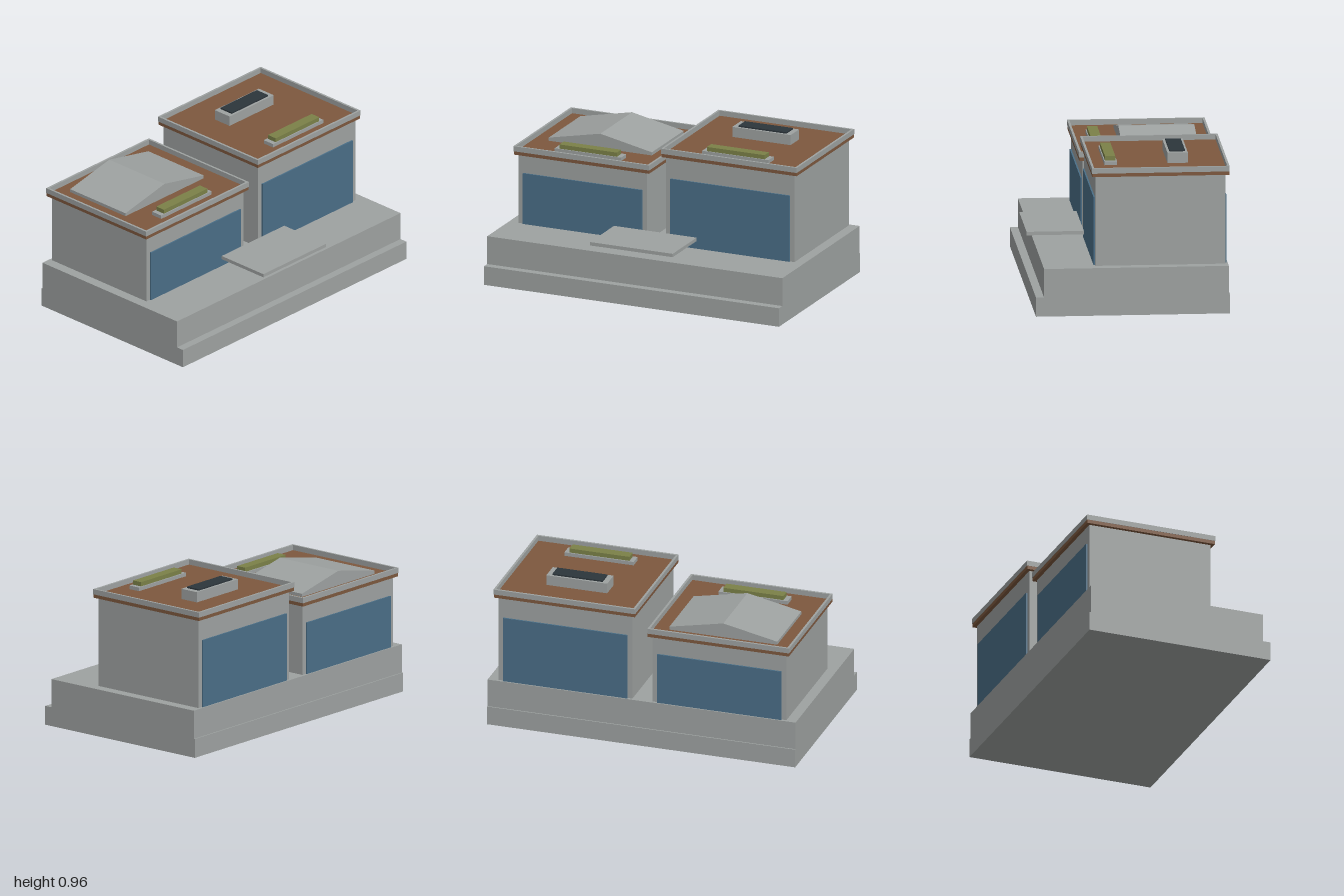
import * as THREE from 'three';

const mat = (name, color) => {
  const m = new THREE.MeshStandardMaterial({ color });
  m.name = name;
  return m;
};

export function createModel() {
  const concrete = mat('concrete grey', 0x9ea2a1);
  const wood = mat('wood brown', 0x7d583e);
  const glass = mat('glass blue', 0x4a6e87);
  const plant = mat('plant olive', 0x7b8148);
  const panel = mat('panel dark', 0x2c353b);

  // Box given by its limits on each axis
  const box = (parent, name, material, [x0, x1], [y0, y1], [z0, z1]) => {
    const mesh = new THREE.Mesh(new THREE.BoxGeometry(x1 - x0, y1 - y0, z1 - z0), material);
    mesh.position.set((x0 + x1) / 2, (y0 + y1) / 2, (z0 + z1) / 2);
    mesh.name = name;
    parent.add(mesh);
    return mesh;
  };

  const model = new THREE.Group();
  model.name = 'twinPavilion';

  // Stepped plinth and entrance canopy
  box(model, 'lowerPlinth', concrete, [-1, 1], [0, 0.12], [-0.6, 0.6]);
  box(model, 'upperPlinth', concrete, [-1, 1], [0.12, 0.3], [-0.592, 0.55]);
  box(model, 'canopy', concrete, [-0.28, 0.28], [0.353, 0.375], [0.246, 0.6]);

  // One block: walls, front and back glazing, roof deck, parapet, planter
  const addBlock = (name, cx, wallTop, glassTop) => {
    const block = new THREE.Group();
    block.name = name;
    const span = (half) => [cx - half, cx + half];
    box(block, 'walls', concrete, span(0.435), [0.3, wallTop], [-0.575, 0.228]);
    box(block, 'frontWindow', glass, span(0.403), [0.3, glassTop], [0.228, 0.2375]);
    box(block, 'backWindow', glass, span(0.403), [0.3, glassTop], [-0.5845, -0.575]);

    const deck = wallTop + 0.022;
    box(block, 'roofDeck', wood, span(0.458), [wallTop, deck], [-0.598, 0.248]);

    // Parapet ring
    const w = 0.46, z0 = -0.6, z1 = 0.25, t = 0.014, top = wallTop + 0.055;
    const rect = (Type, x, a, b) => new Type([
      new THREE.Vector2(-x, -a), new THREE.Vector2(x, -a),
      new THREE.Vector2(x, -b), new THREE.Vector2(-x, -b),
    ]);
    const ring = rect(THREE.Shape, w, z1, z0);
    ring.holes.push(rect(THREE.Path, w - t, z1 - t, z0 + t));
    const geo = new THREE.ExtrudeGeometry(ring, { depth: top - deck, bevelEnabled: false });
    geo.rotateX(-Math.PI / 2);
    const parapet = new THREE.Mesh(geo, concrete);
    parapet.position.set(cx, deck, 0);
    parapet.name = 'parapet';
    block.add(parapet);

    box(block, 'planterTray', concrete, span(0.225), [deck, deck + 0.023], [0.077, 0.155]);
    box(block, 'planting', plant, span(0.195), [deck + 0.023, wallTop + 0.072], [0.085, 0.149]);
    model.add(block);
    return { block, deck };
  };

  const low = addBlock('lowBlock', -0.5, 0.745, 0.628);
  const tall = addBlock('tallBlock', 0.5, 0.865, 0.728);

  // Shallow gabled roof light
  const gable = new THREE.Shape([
    new THREE.Vector2(-0.35, low.deck), new THREE.Vector2(0.35, low.deck),
    new THREE.Vector2(0.35, 0.787), new THREE.Vector2(0, 0.86),
    new THREE.Vector2(-0.35, 0.787),
  ]);
  const gableMesh = new THREE.Mesh(
    new THREE.ExtrudeGeometry(gable, { depth: 0.47, bevelEnabled: false }), concrete);
  gableMesh.position.set(-0.5, 0, -0.5);
  gableMesh.name = 'gabledRoofLight';
  low.block.add(gableMesh);

  // Rooftop unit with dark panel
  box(tall.block, 'roofUnit', concrete, [0.3, 0.695], [tall.deck, 0.952], [-0.363, -0.237]);
  box(tall.block, 'roofUnitPanel', panel, [0.335, 0.66], [0.952, 0.961], [-0.348, -0.252]);

  return model;
}
